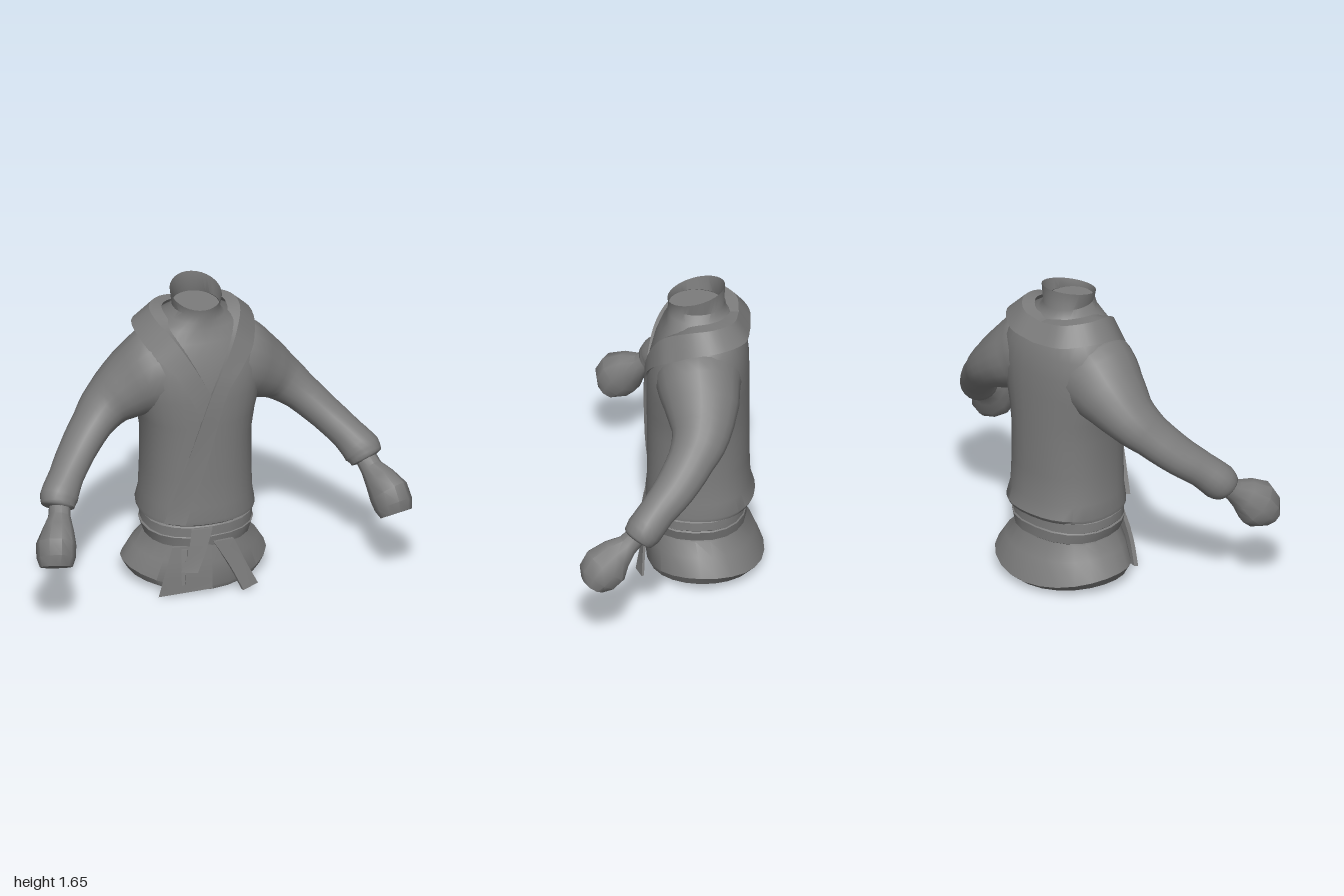
import * as THREE from 'three';
import { toCreasedNormals } from 'three/addons/utils/BufferGeometryUtils.js';

const V = (x, y, z) => new THREE.Vector3(x, y, z);
const material = new THREE.MeshStandardMaterial({ color: 0x7c7c7c, side: THREE.DoubleSide });

// Skin closed cross-sections into one solid, turned so its faces point outwards
function loft(name, sections, { capEnd = true, crease = 0.7 } = {}) {
  const n = sections[0].length, pos = [], idx = [];
  const add = p => pos.push(p.x, p.y, p.z) / 3 - 1;
  sections.forEach(s => s.forEach(add));
  for (let i = 0; i < sections.length - 1; i++) {
    for (let j = 0; j < n; j++) {
      const a = i * n + j, b = i * n + (j + 1) % n;
      idx.push(a, b, a + n, b, b + n, a + n);
    }
  }
  const cap = (row, flip) => {
    const c = add(sections[row].reduce((s, p) => s.add(p), V(0, 0, 0)).divideScalar(n));
    for (let j = 0; j < n; j++) {
      const a = row * n + j, b = row * n + (j + 1) % n;
      idx.push(c, flip ? b : a, flip ? a : b);
    }
  };
  cap(0, true);
  if (capEnd) cap(sections.length - 1, false);
  const at = i => V(pos[3 * i], pos[3 * i + 1], pos[3 * i + 2]);
  let volume = 0;
  for (let i = 0; i < idx.length; i += 3) volume += at(idx[i]).dot(at(idx[i + 1]).cross(at(idx[i + 2])));
  if (volume < 0) idx.reverse();
  const geo = new THREE.BufferGeometry();
  geo.setAttribute('position', new THREE.Float32BufferAttribute(pos, 3));
  geo.setIndex(idx);
  const mesh = new THREE.Mesh(toCreasedNormals(geo, crease), material);
  mesh.name = name;
  return mesh;
}

// Horizontal rounded ring: height, half width, front z, back z, backward tilt, lift at the sides, squareness
const POWER = 2.3;
function ring([y, rx, zf, zb, tilt = 0, lift = 0, power = POWER], n = 32) {
  return Array.from({ length: n }, (_, i) => {
    const a = i / n * Math.PI * 2, c = Math.cos(a), s = Math.sin(a);
    const round = v => Math.sign(v) * Math.abs(v) ** (2 / power);
    return V(rx * round(c), y - tilt * s + lift * c * c, (zf + zb) / 2 + (zf - zb) / 2 * round(s));
  });
}

const torsoRings = [
  [0.39, 0.27, 0.135, -0.36], [0.405, 0.3, 0.155, -0.39], [0.425, 0.302, 0.157, -0.402],
  [0.5, 0.288, 0.15, -0.38], [0.65, 0.283, 0.15, -0.375], [0.85, 0.283, 0.15, -0.375],
  [0.96, 0.3, 0.152, -0.375], [1.1, 0.335, 0.152, -0.375], [1.22, 0.355, 0.14, -0.372],
  [1.33, 0.335, 0.11, -0.36], [1.41, 0.28, 0.08, -0.335], [1.47, 0.215, 0.05, -0.305],
  [1.51, 0.15, 0.045, -0.265, 0, 0, 2], [1.55, 0.122, 0.04, -0.245, 0, 0, 2],
  [1.62, 0.132, 0.045, -0.25, 0.04, 0, 2],
];

// Front surface of the torso at a given x and y
function frontZ(x, y) {
  let i = 0;
  while (i < torsoRings.length - 2 && torsoRings[i + 1][0] < y) i++;
  const [p, q] = [torsoRings[i], torsoRings[i + 1]];
  const t = THREE.MathUtils.clamp((y - p[0]) / (q[0] - p[0]), 0, 1);
  const [rx, zf, zb] = [1, 2, 3].map(k => THREE.MathUtils.lerp(p[k], q[k], t));
  const u = 1 - Math.abs(x / rx) ** POWER;
  return u < 0 ? -1 : (zf + zb) / 2 + (zf - zb) / 2 * u ** (1 / POWER);
}

// Flat cloth strip running between two edge curves, thickened towards the body axis
function strip(name, rows, thickness, { steps = 8, hug = 0 } = {}) {
  const edges = [0, 1].map(k => new THREE.CatmullRomCurve3(rows.map(r => V(...r[k]))));
  const sections = [];
  for (let i = 0; i <= steps; i++) {
    const top = edges.map(e => e.getPoint(i / steps));
    if (hug) for (const p of top) if (p.y < 1.38) p.z = Math.max(p.z, frontZ(p.x, p.y) + hug);
    const under = top.map(p => p.clone().add(V(-p.x, 0, -0.11 - p.z).setLength(thickness)));
    sections.push([top[0], top[1], under[1], under[0]]);
  }
  return loft(name, sections, { crease: 0.5 });
}

// Rounded limb: each row is centre, radius along the swing axis, radius along the side axis
function limb(name, rows, sideAxis, { perRow = 1, n = 16, crease }) {
  const path = new THREE.CatmullRomCurve3(rows.map(r => V(...r[0])));
  const sections = [], steps = (rows.length - 1) * perRow;
  for (let i = 0; i <= steps; i++) {
    const t = i / steps, f = i / perRow, k = Math.min(Math.floor(f), rows.length - 2);
    const r = [1, 2].map(m => THREE.MathUtils.lerp(rows[k][m], rows[k + 1][m], f - k));
    const c = path.getPoint(t), dir = path.getTangent(t);
    const side = sideAxis.clone().addScaledVector(dir, -sideAxis.dot(dir)).normalize();
    const up = side.clone().cross(dir);
    sections.push(Array.from({ length: n }, (_, j) => {
      const a = j / n * Math.PI * 2;
      return c.clone().addScaledVector(up, r[0] * Math.cos(a)).addScaledVector(side, r[1] * Math.sin(a));
    }));
  }
  return loft(name, sections, { crease });
}

export function createModel() {
  const model = new THREE.Group();
  model.name = 'wrappedJacket';

  // Jacket body and open neck, with a floor inside the neck
  model.add(loft('jacketBody', torsoRings.map(r => ring(r)), { capEnd: false }));
  model.add(loft('neckFloor', [1.54, 1.55].map(y => ring([y, 0.119, 0.037, -0.242, 0, 0, 2]))));

  // Two wraps of the belt
  model.add(loft('lowerBelt', [
    [0.265, 0.255, 0.125, -0.345], [0.275, 0.275, 0.142, -0.358], [0.33, 0.292, 0.15, -0.362],
    [0.345, 0.27, 0.135, -0.35]].map(r => ring(r, 20)), { crease: 0.5 }));
  model.add(loft('upperBelt', [
    [0.32, 0.27, 0.135, -0.35], [0.325, 0.286, 0.146, -0.357, 0, 0.015],
    [0.385, 0.284, 0.146, -0.355], [0.4, 0.26, 0.13, -0.34]].map(r => ring(r, 20)), { crease: 0.5 }));

  // Flared skirt with a scooped hem and closed underside
  model.add(loft('skirt', [
    [0.3, 0.255, 0.125, -0.345], [0.26, 0.265, 0.13, -0.35], [0.18, 0.325, 0.145, -0.4, 0, 0.02, 2.1],
    [0.05, 0.38, 0.155, -0.45, 0, 0.06, 2], [0.025, 0.35, 0.145, -0.42, 0, 0.035, 2],
    [0.035, 0.22, 0.05, -0.3, 0, 0, 2]].map(r => ring(r, 24)), { crease: 0.6 }));

  // Collar and crossing lapels: rows of inner and outer edge points from the nape forwards
  const collar = [
    [[0, 1.5, -0.32], [0, 1.405, -0.38]],
    [[0.13, 1.515, -0.3], [0.17, 1.42, -0.36]],
    [[0.22, 1.525, -0.2], [0.305, 1.44, -0.23]],
    [[0.23, 1.51, -0.08], [0.31, 1.41, -0.08]],
    [[0.17, 1.44, 0.05], [0.26, 1.34, 0.03]],
    [[0.1, 1.33, 0.12], [0.18, 1.26, 0.1]],
  ];
  const overlap = [
    ...collar,
    [[0, 1.15, 0.16], [0.085, 1.14, 0.15]],
    [[-0.12, 0.8, 0.15], [-0.015, 0.8, 0.15]],
    [[-0.24, 0.42, 0.1], [-0.14, 0.415, 0.15]],
  ];
  const under = [
    ...collar,
    [[0.015, 1.17, 0.15], [0.09, 1.09, 0.15]],
    [[-0.02, 1.1, 0.15], [0.055, 1.0, 0.15]],
  ].map(row => row.map(([x, y, z]) => [-x, y, z]));
  model.add(strip('leftLapel', overlap, 0.065, { steps: 32, hug: 0.014 }));
  model.add(strip('rightLapel', under, 0.065, { steps: 28, hug: 0.007 }));

  // Front flap and hanging belt ends
  model.add(strip('frontFlap', [
    [[-0.2, 0.28, 0.115], [0, 0.28, 0.145]],
    [[-0.24, 0.15, 0.125], [0, 0.15, 0.16]],
    [[-0.275, 0.01, 0.12], [0, 0.04, 0.168]]], 0.02));
  model.add(strip('beltKnotEnd', [
    [[-0.11, 0.385, 0.155], [0, 0.385, 0.165]],
    [[-0.13, 0.28, 0.172], [-0.04, 0.27, 0.182]],
    [[-0.175, 0.165, 0.18], [-0.09, 0.16, 0.2]]], 0.015));
  model.add(strip('beltInnerEnd', [
    [[-0.16, 0.27, 0.14], [-0.13, 0.27, 0.145]],
    [[-0.165, 0.18, 0.155], [-0.14, 0.18, 0.16]],
    [[-0.165, 0.08, 0.165], [-0.15, 0.085, 0.17]]], 0.015));
  model.add(strip('beltOuterEnd', [
    [[0.01, 0.3, 0.156], [0.12, 0.3, 0.15]],
    [[0.1, 0.14, 0.178], [0.19, 0.14, 0.162]],
    [[0.155, 0.02, 0.2], [0.245, 0.03, 0.165]]], 0.015));

  // Sleeve ending in a flared cuff, and a closed hand, mirrored for the other side
  for (const [sideName, mirror] of [['left', 1], ['right', -1]]) {
    const arm = new THREE.Group();
    arm.name = sideName + 'Arm';
    const rows = list => list.map(([[x, y, z], a, b]) => [[x * mirror, y, z], a, b]);
    arm.add(limb('sleeve', rows([
      [[0.08, 1.23, -0.12], 0.21, 0.22], [[0.21, 1.19, -0.125], 0.235, 0.218],
      [[0.33, 1.125, -0.145], 0.18, 0.192], [[0.46, 1.035, -0.145], 0.127, 0.15],
      [[0.56, 0.95, -0.1], 0.1, 0.122], [[0.67, 0.845, -0.02], 0.09, 0.108],
      [[0.755, 0.76, 0.065], 0.088, 0.094], [[0.815, 0.685, 0.13], 0.1, 0.096],
      [[0.83, 0.65, 0.16], 0.085, 0.082], [[0.833, 0.643, 0.165], 0.055, 0.055]]),
    V(0, 0, 1), { perRow: 3, n: 20, crease: 0.8 }));
    arm.add(limb('hand', rows([
      [[0.82, 0.665, 0.16], 0.055, 0.055], [[0.84, 0.615, 0.21], 0.058, 0.058],
      [[0.865, 0.575, 0.265], 0.092, 0.08], [[0.895, 0.52, 0.32], 0.125, 0.102],
      [[0.908, 0.465, 0.36], 0.112, 0.1], [[0.915, 0.425, 0.385], 0.07, 0.085]]),
    V(1, 0, 0), { n: 10, crease: 0.75 }));
    model.add(arm);
  }
  return model;
}
